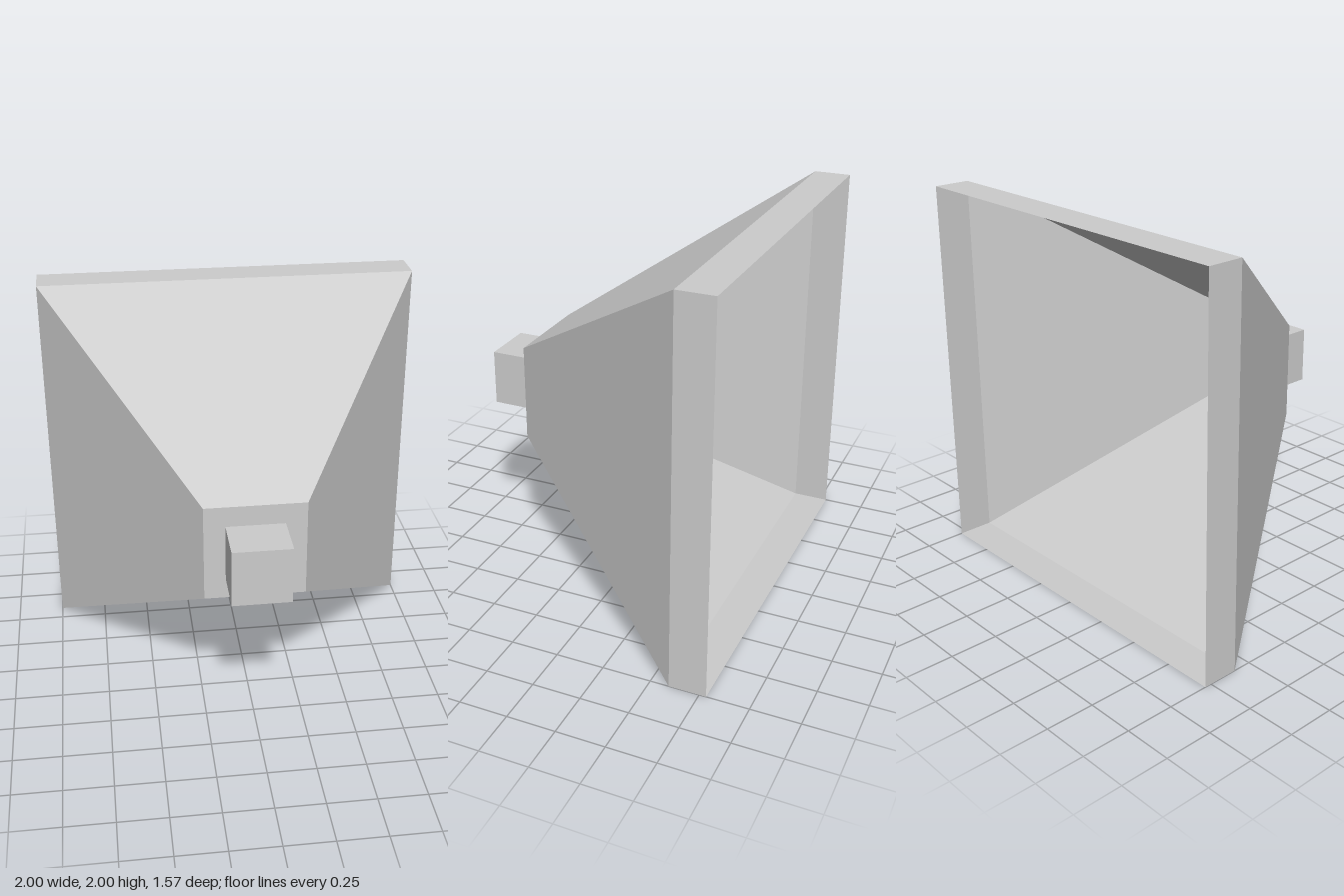
import * as THREE from 'three';

// Open square tube along z: half-width 'back' at z0, 'front' at z1
function squareBand(back, front, z0, z1) {
  const g = new THREE.CylinderGeometry(front * Math.SQRT2, back * Math.SQRT2, z1 - z0, 4, 1, true);
  g.rotateY(Math.PI / 4);
  g.rotateX(Math.PI / 2);
  g.translate(0, 1, (z0 + z1) / 2);
  return faceted(g);
}

// Hard edges between the flat sides
function faceted(geometry) {
  const g = geometry.toNonIndexed();
  g.computeVertexNormals();
  return g;
}

export function createModel() {
  const group = new THREE.Group();
  group.name = 'squareFunnel';
  const grey = new THREE.MeshStandardMaterial({ color: 0xcccccc, side: THREE.DoubleSide });
  grey.name = 'light grey';

  const add = (name, geometry) => {
    const mesh = new THREE.Mesh(geometry, grey);
    mesh.name = name;
    group.add(mesh);
  };

  const zBack = -0.785, zRim = -0.595, zThroat = 0.542, zTip = 0.785;
  const rim = 1, throat = 0.254, nozzle = 0.147;

  // Thin shell, open at the back
  add('rim', squareBand(rim, rim, zBack, zRim));
  add('funnel', squareBand(rim, throat, zRim, zThroat));
  add('nozzle', squareBand(nozzle, nozzle, zThroat, zTip));

  // Square flange around the nozzle opening
  const flange = new THREE.RingGeometry(nozzle * Math.SQRT2, throat * Math.SQRT2, 4, 1, Math.PI / 4);
  flange.translate(0, 1, zThroat);
  add('throatFlange', faceted(flange));

  // Closed nozzle end
  const cap = new THREE.PlaneGeometry(nozzle * 2, nozzle * 2);
  cap.translate(0, 1, zTip);
  add('nozzleCap', cap);

  return group;
}
